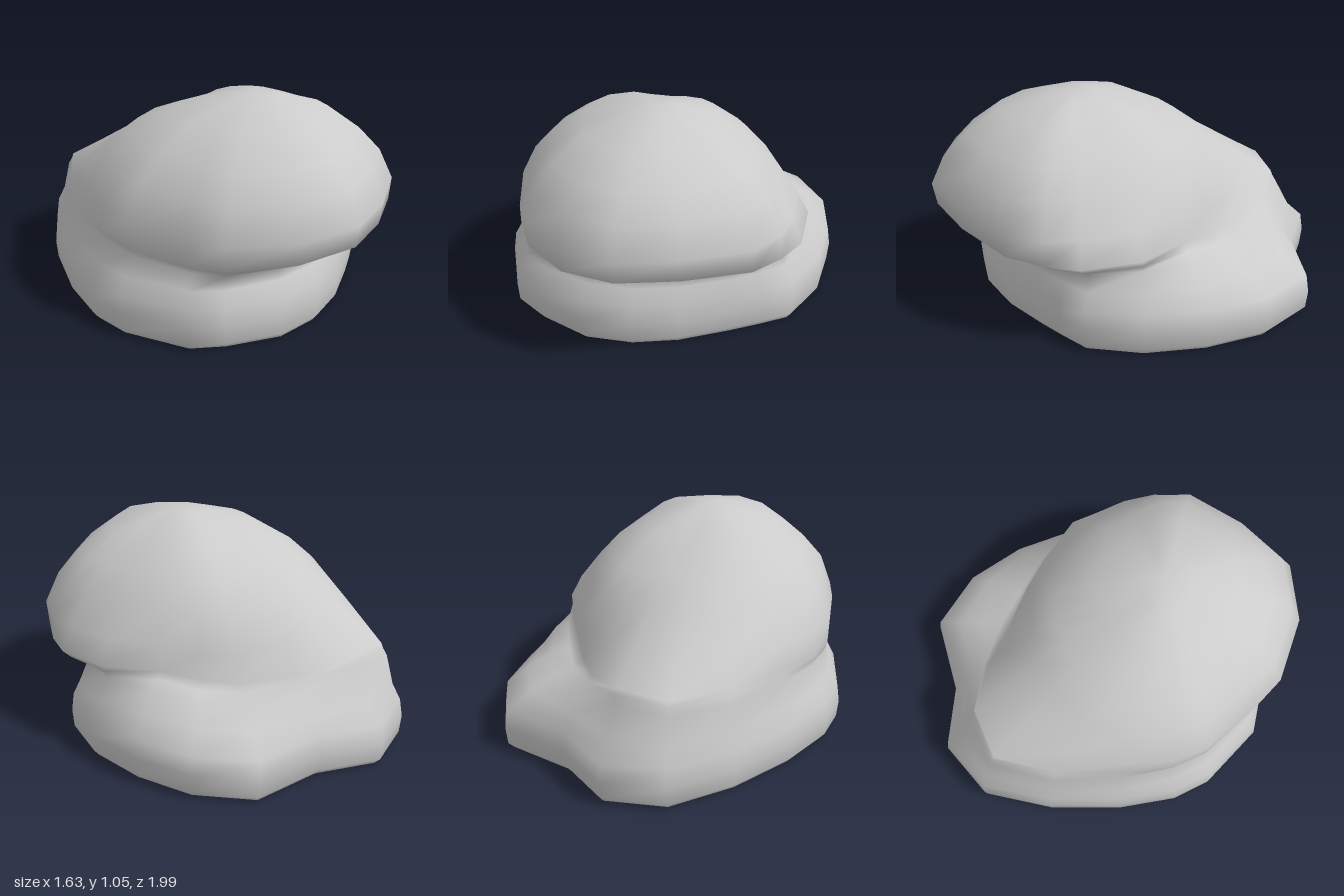
import * as THREE from 'three';

// Outlines as radii along spokes, from the front (+z) round through +x
const angles = [-5, 13, 35, 48, 60, 81, 103, 123, 142, 165, 183, 201, 222, 247, 268, 282, 306, 318, 338];
const base =   [.75, .70, .68, .71, .77, .79, .83, .91, .97, .86, 1.0, .985, .86, .80, .82, .837, .86, .83, .80];
const groove = [.66, .63, .63, .65, .68, .68, .67, .67, .70, .72, .82, .89, .79, .72, .72, .74, .77, .76, .70];
const lip =    [.97, .90, .87, .83, .80, .71, .565, .52, .54, .65, .79, .86, .76, .71, .74, .76, .80, .86, .935];
const lipY =   [.49, .48, .46, .45, .45, .46, .45, .41, .40, .44, .50, .50, .49, .48, .46, .45, .43, .43, .46];
// How far each side of the dome leans in: 0 full, 1 long slope
const lean =   [.05, .07, .12, .28, .55, .60, .35, .25, .35, .70, 1, 1, .65, .32, .25, .17, .06, 0, 0];
const N = angles.length;
const { lerp, degToRad } = THREE.MathUtils;
const spoke = (i, r, y) => {
  const a = degToRad(angles[i]);
  return new THREE.Vector3(Math.sin(a) * r, y, Math.cos(a) * r);
};
const ring = f => angles.map((_, i) => f(i));

// Skins stacked rings and closes the last one to a peak point
function skin(rings, peak) {
  const pos = [], idx = [];
  rings.forEach(points => points.forEach(p => pos.push(p.x, p.y, p.z)));
  pos.push(peak.x, peak.y, peak.z);
  const last = rings.length - 1;
  for (let k = 0; k <= last; k++) {
    for (let i = 0; i < N; i++) {
      const j = (i + 1) % N, a = k * N + i, b = k * N + j;
      if (k === last) idx.push(a, b, (last + 1) * N);
      else idx.push(a, b, b + N, a, b + N, a + N);
    }
  }
  const g = new THREE.BufferGeometry();
  g.setAttribute('position', new THREE.Float32BufferAttribute(pos, 3));
  g.setIndex(idx);
  g.computeVertexNormals();
  return g;
}

export function createModel() {
  const group = new THREE.Group();
  group.name = 'rock';
  const material = new THREE.MeshStandardMaterial({ color: 0xcccccc });

  // Lower slab: [scale of the base outline, blend towards the groove, height]
  const rings = [[.96, 0, 0], [.99, 0, .03], [1, 0, .12], [.985, 0, .21], [.99, .5, .29]]
    .map(([s, t, y]) => ring(i => spoke(i, lerp(base[i], groove[i], t) * s, y)));

  // Groove, undercut and overhanging lip; the groove sits lower under a deeper overhang
  const drop = i => .06 + .2 * Math.max(0, lip[i] - groove[i]);
  rings.push(
    ring(i => spoke(i, groove[i], lipY[i] - drop(i))),
    ring(i => spoke(i, lerp(groove[i], lip[i], .65), lipY[i] - drop(i) * .45)),
    ring(i => spoke(i, lip[i], lipY[i])),
  );

  // Dome: [full scale, sloped scale, rise]
  const peak = new THREE.Vector3(-.03, 1.05, .27);
  for (const [full, sloped, rise] of [[1.04, .84, .2], [.95, .64, .46], [.79, .51, .66], [.56, .27, .86], [.22, .12, .97]]) {
    rings.push(ring(i => {
      const p = spoke(i, lip[i], 0).sub(peak).multiplyScalar(lerp(full, sloped, lean[i])).add(peak);
      p.y = lerp(lipY[i], peak.y, rise);
      return p;
    }));
  }
  const body = new THREE.Mesh(skin(rings, peak), material);
  body.name = 'rockBody';

  // Flat underside, wound to face down
  const under = new THREE.Mesh(skin([[...rings[0]].reverse()], new THREE.Vector3()), material);
  under.name = 'underside';

  group.add(body, under);
  return group;
}
